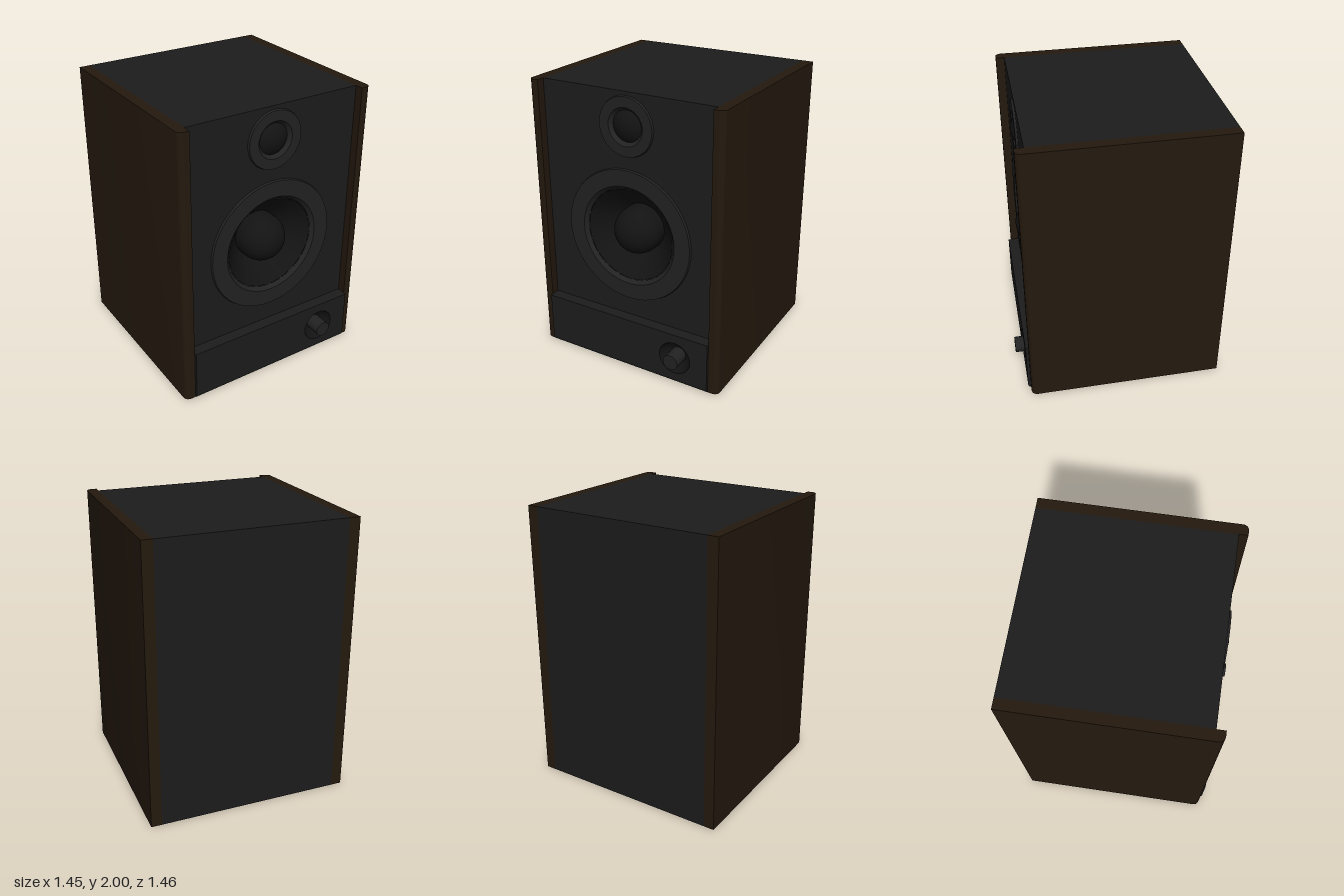
import * as THREE from 'three';
import { toCreasedNormals } from 'three/addons/utils/BufferGeometryUtils.js';

const material = (color) => new THREE.MeshStandardMaterial({ color, side: THREE.DoubleSide });
const black = material(0x1c1c1c);
const trim = material(0x222222);
const coneBlack = material(0x131313);
const wood = material(0x24190e);

const BACK = -0.73, BAFFLE = 0.59, PANEL = 0.67;

function add(parent, name, geometry, mat, x = 0, y = 0, z = 0) {
  const mesh = new THREE.Mesh(geometry, mat);
  mesh.name = name;
  mesh.position.set(x, y, z);
  parent.add(mesh);
  return mesh;
}

// Rectangle with round holes [x, y, r], extruded along z
function plate(x0, y0, x1, y1, holes, depth) {
  const shape = new THREE.Shape([[x0, y0], [x1, y0], [x1, y1], [x0, y1]].map((p) => new THREE.Vector2(...p)));
  for (const [x, y, r] of holes) shape.holes.push(new THREE.Path().absarc(x, y, r, 0, Math.PI * 2, true));
  return new THREE.ExtrudeGeometry(shape, { depth, bevelEnabled: false, curveSegments: 24 });
}

// Profile of [radius, z] turned about the z axis
function turned(points, segments) {
  const lathe = new THREE.LatheGeometry(points.map((p) => new THREE.Vector2(...p)), segments);
  return toCreasedNormals(lathe.rotateX(Math.PI / 2), 0.5);
}

// Spherical cap facing +z with its rim at z = 0
function cap(radius, height) {
  const R = (radius * radius + height * height) / (2 * height);
  const angle = Math.asin(Math.min(1, radius / R));
  return new THREE.SphereGeometry(R, 32, 12, 0, Math.PI * 2, 0, angle)
    .rotateX(Math.PI / 2).translate(0, 0, height - R);
}

export function createModel() {
  const model = new THREE.Group();
  model.name = 'bookshelfSpeaker';

  // Cabinet: solid rear, front baffle with driver openings
  const split = 0.34;
  add(model, 'cabinet', new THREE.BoxGeometry(1.3, 2, split - BACK), black, 0, 1, (split + BACK) / 2);
  add(model, 'baffle', plate(-0.65, 0, 0.65, 2, [[0, 1, 0.36], [0, 1.77, 0.13]], BAFFLE - split), black, 0, 0, split);

  // Wooden side panels with a rounded outer front edge
  for (const side of [1, -1]) {
    const r = 0.04, front = 0.65, outer = 0.725;
    const outline = new THREE.Shape();
    outline.moveTo(0.65, -BACK);
    outline.lineTo(outer, -BACK);
    outline.lineTo(outer, -front + r);
    outline.absarc(outer - r, -front + r, r, 0, -Math.PI / 2, true);
    outline.lineTo(0.65, -front);
    outline.closePath();
    const geometry = new THREE.ExtrudeGeometry(outline, { depth: 2, bevelEnabled: false, curveSegments: 4 });
    geometry.rotateX(-Math.PI / 2);
    const panel = add(model, side > 0 ? 'leftSidePanel' : 'rightSidePanel', toCreasedNormals(geometry, 0.6), wood);
    if (side < 0) {
      panel.rotation.z = Math.PI;
      panel.position.y = 2;
    }
  }

  // Woofer: ring, sunken cone and dust cap
  const woofer = new THREE.Group();
  woofer.name = 'woofer';
  woofer.position.set(0, 1, BAFFLE);
  add(woofer, 'wooferRing', turned([[0.48, 0], [0.475, 0.015], [0.36, 0.015], [0.335, -0.01]], 48), trim);
  add(woofer, 'wooferCone', turned([[0.335, -0.01], [0.15, -0.2], [0, -0.2]], 20), coneBlack);
  add(woofer, 'dustCap', cap(0.17, 0.17), coneBlack, 0, 0, -0.125);
  add(woofer, 'dustCapNeck', new THREE.CylinderGeometry(0.17, 0.17, 0.075, 32, 1, true).rotateX(Math.PI / 2), coneBlack, 0, 0, -0.1625);
  model.add(woofer);

  // Tweeter: ring and shallow dome
  const tweeter = new THREE.Group();
  tweeter.name = 'tweeter';
  tweeter.position.set(0, 1.77, BAFFLE);
  add(tweeter, 'tweeterRing', turned([[0.205, 0], [0.2, 0.015], [0.13, 0.015], [0.107, -0.01]], 40), trim);
  add(tweeter, 'tweeterDome', cap(0.108, 0.04), coneBlack, 0, 0, -0.01);
  model.add(tweeter);

  // Lower control panel with a rounded bottom edge
  const lip = 0.03, depth = PANEL - BAFFLE;
  add(model, 'controlPanel', plate(-0.65, lip, 0.65, 0.385, [[0.4, 0.2, 0.12]], depth), black, 0, 0, BAFFLE);
  const profile = new THREE.Shape();
  profile.moveTo(-BAFFLE, 0);
  profile.lineTo(-BAFFLE, lip);
  profile.lineTo(-PANEL, lip);
  profile.absarc(-PANEL + lip, lip, lip, Math.PI, Math.PI * 1.5, false);
  profile.closePath();
  const edge = new THREE.ExtrudeGeometry(profile, { depth: 1.3, bevelEnabled: false, curveSegments: 5 });
  edge.rotateY(Math.PI / 2).translate(-0.65, 0, 0);
  add(model, 'controlPanelLip', toCreasedNormals(edge, 0.6), black);

  // Volume knob in its dish
  add(model, 'knobDish', turned([[0.12, PANEL], [0.1, PANEL - 0.035], [0.06, PANEL - 0.06], [0, PANEL - 0.06]], 32), coneBlack, 0.4, 0.2);
  add(model, 'knob', new THREE.CylinderGeometry(0.056, 0.056, 0.12, 24).rotateX(Math.PI / 2), trim, 0.4, 0.2, 0.67);

  return model;
}
